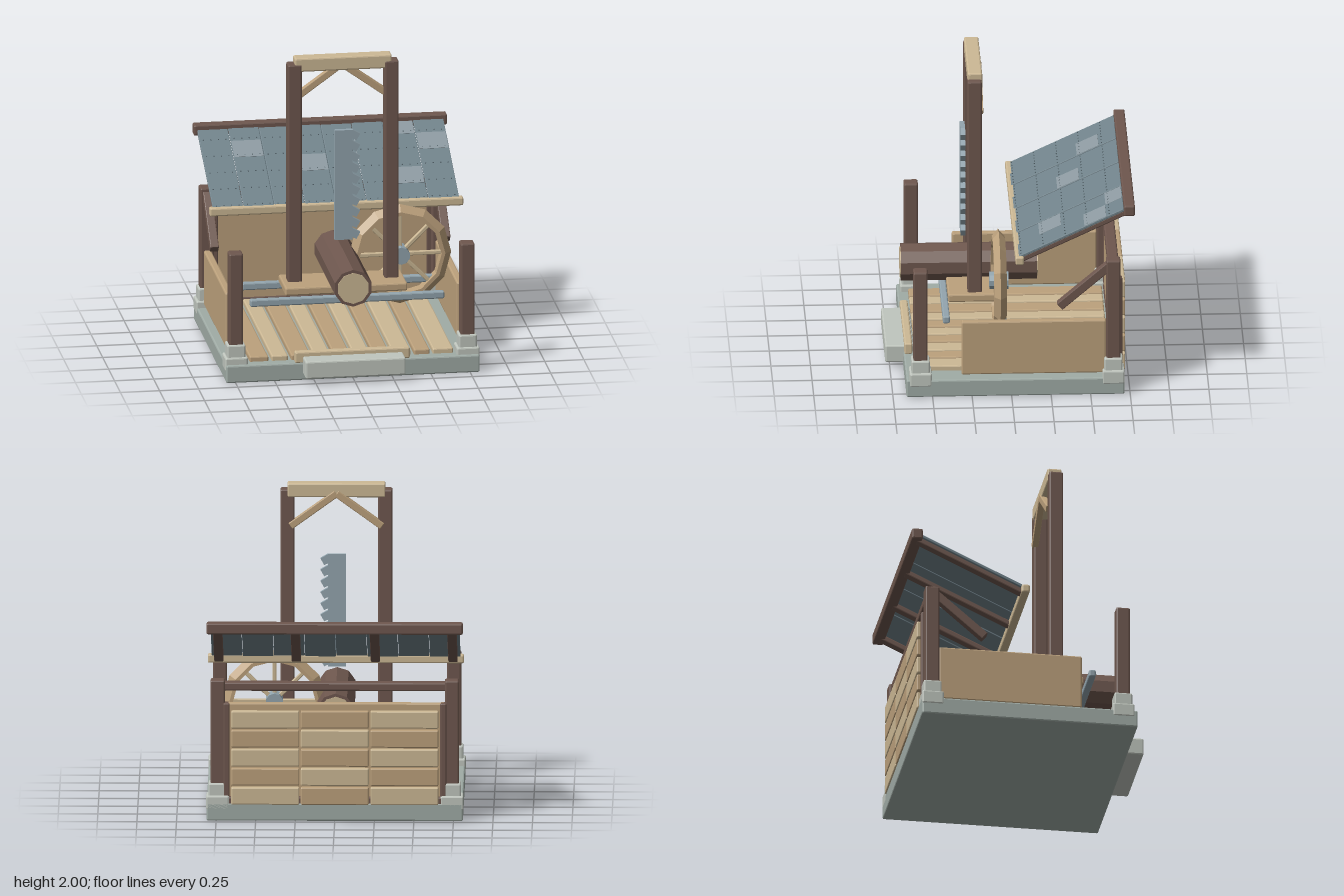
import * as THREE from 'three';
import { RoundedBoxGeometry } from 'three/addons/geometries/RoundedBoxGeometry.js';

const mat = (color, side = THREE.FrontSide) =>
  new THREE.MeshStandardMaterial({ color, side, flatShading: true });
const WOOD = mat(0xbca17c), PALE = mat(0xcdb995), DARK = mat(0x6e574e), STONE = mat(0xa0aca6),
  LIGHT_STONE = mat(0xc0c6be), METAL = mat(0x93a5ae), ROOF = mat(0x71838b), PATCH = mat(0x8d9aa1),
  RIVET = mat(0x56656c);

export function createModel() {
  const model = new THREE.Group();
  model.name = 'sawmill';

  const add = (name, geometry, material, parent = model) => {
    const mesh = new THREE.Mesh(geometry, material);
    mesh.name = name;
    parent.add(mesh);
    return mesh;
  };

  // Bevelled box given by its min and max on each axis
  const box = (name, material, x0, x1, y0, y1, z0, z1, parent = model) => {
    const w = x1 - x0, h = y1 - y0, d = z1 - z0;
    const r = Math.min(0.01, Math.min(w, h, d) * 0.2);
    const mesh = add(name, new RoundedBoxGeometry(w, h, d, 1, r), material, parent);
    mesh.position.set((x0 + x1) / 2, (y0 + y1) / 2, (z0 + z1) / 2);
    return mesh;
  };

  // Square beam between two points
  const beam = (name, material, a, b, width, depth, parent = model) => {
    const from = new THREE.Vector3(...a), to = new THREE.Vector3(...b);
    const dir = to.clone().sub(from);
    const mesh = add(name, new RoundedBoxGeometry(width, dir.length(), depth, 1, 0.005), material, parent);
    mesh.position.copy(from).add(to).multiplyScalar(0.5);
    mesh.quaternion.setFromUnitVectors(new THREE.Vector3(0, 1, 0), dir.normalize());
    return mesh;
  };

  // Foundation, step and sill
  box('foundation', STONE, -0.81, 0.81, 0, 0.115, -0.715, 0.665);
  box('frontStep', LIGHT_STONE, -0.32, 0.32, 0.04, 0.155, 0.6, 0.78);
  box('doorSill', PALE, -0.37, 0.365, 0.11, 0.185, 0.61, 0.66);

  // Floor planks of alternating width
  const plankEnds = [-0.66, -0.52, -0.395, -0.25, -0.125, 0, 0.125, 0.25, 0.39, 0.51, 0.66];
  for (let i = 0; i < 10; i++) {
    box('floorPlank', i % 2 ? PALE : WOOD, plankEnds[i] + 0.01, plankEnds[i + 1] - 0.01,
      0.105, 0.148, -0.63, 0.595);
  }

  // Corner posts on stone feet, side walls and braces
  for (const s of [-1, 1]) {
    const x = 0.74 * s;
    for (const [z, top] of [[0.575, 0.84], [-0.645, 0.9]]) {
      box('cornerPost', DARK, x - 0.045, x + 0.045, 0.18, top, z - 0.045, z + 0.045);
      box('postFootLower', LIGHT_STONE, x - 0.073, x + 0.073, 0.07, 0.16, z - 0.07, z + 0.07);
      box('postFootUpper', LIGHT_STONE, x - 0.058, x + 0.058, 0.14, 0.24, z - 0.058, z + 0.058);
    }
    box('sideWall', WOOD, x - 0.024, x + 0.024, 0.13, 0.49, -0.6, 0.315);
    beam('roofBrace', DARK, [x, 0.585, -0.305], [x, 0.865, -0.63], 0.055, 0.055);
  }
  box('backTopBeam', DARK, -0.78, 0.78, 0.83, 0.885, -0.68, -0.61);

  // Back wall with rows of cladding boards
  box('backWall', WOOD, -0.7, 0.7, 0.12, 0.755, -0.69, -0.645);
  box('backSill', DARK, -0.7, 0.7, 0.1, 0.155, -0.712, -0.64);
  for (const s of [-1, 1]) box('backWallStile', DARK, s * 0.685 - 0.02, s * 0.685 + 0.02, 0.12, 0.755, -0.704, -0.64);
  for (let row = 0; row < 5; row++) {
    for (let col = 0; col < 3; col++) {
      const x = -0.66 + col * 0.44, y = 0.105 + row * 0.123;
      box('claddingBoard', (row + col) % 2 ? WOOD : PALE, x + 0.005, x + 0.435, y, y + 0.112, -0.725, -0.685);
    }
  }

  // Sloping roof: local -z runs up the slope
  box('eaveBeam', PALE, -0.81, 0.81, 0.89, 0.945, -0.078, -0.025);
  box('ridgeBeam', DARK, -0.81, 0.81, 1.213, 1.285, -0.78, -0.71);
  const roof = new THREE.Group();
  roof.name = 'roof';
  roof.position.set(0, 0.92, -0.055);
  roof.rotation.x = Math.atan2(0.325, 0.69);
  model.add(roof);
  for (const x of [-0.74, -0.25, 0.25, 0.74]) box('rafter', DARK, x - 0.03, x + 0.03, -0.028, 0.008, -0.75, 0.01, roof);
  const patches = ['1,3', '3,2', '6,1', '6,4', '7,3'];
  const rivetGeometry = new THREE.CylinderGeometry(0.004, 0.004, 0.004, 6);
  for (let col = 0; col < 8; col++) {
    const x = -0.788 + col * 0.197, lift = col % 2 ? 0.004 : 0;
    box('roofSheet', ROOF, x, x + 0.194, 0.004 + lift, 0.022 + lift, -0.735, 0.005, roof);
    for (let row = 0; row < 5; row++) {
      const z = -row * 0.154;
      if (patches.includes(col + ',' + row)) {
        box('roofPatch', PATCH, x + 0.004, x + 0.19, 0.02 + lift, 0.0245 + lift, Math.max(z - 0.152, -0.73), z, roof);
      }
      for (let k = 0; k < 4; k++) {
        add('rivet', rivetGeometry, RIVET, roof).position.set(x + 0.025 + k * 0.048, 0.024 + lift, z - 0.02);
      }
    }
  }

  // Saw gate frame
  for (const s of [-1, 1]) {
    box('gatePost', DARK, s * 0.309 - 0.045, s * 0.309 + 0.045, 0.5, 1.96, 0.17, 0.26);
    beam('gateBrace', WOOD, [s * 0.29, 1.725, 0.178], [0, 1.935, 0.178], 0.045, 0.04);
  }
  box('gateTopBeam', PALE, -0.31, 0.31, 1.91, 2, 0.165, 0.257);

  // Carriage and rails
  box('carriage', WOOD, -0.39, 0.39, 0.472, 0.525, 0.085, 0.385);
  for (const z of [0.405, 0.047]) box('rail', METAL, -0.62, 0.62, 0.422, 0.47, z - 0.022, z + 0.022);

  // Log with a pale cut face at each end
  const log = new THREE.Group();
  log.name = 'log';
  log.position.set(0, 0.595, 0.24);
  log.rotation.x = Math.PI / 2;
  model.add(log);
  add('bark', new THREE.CylinderGeometry(0.122, 0.122, 0.86, 10), DARK, log);
  add('cutWood', new THREE.CylinderGeometry(0.102, 0.102, 0.87, 10), PALE, log);

  // Saw blade with hooked teeth
  const blade = new THREE.Shape();
  blade.moveTo(0.055, 0.8);
  const teeth = 10, pitch = 0.725 / teeth;
  for (let i = 0; i < teeth; i++) {
    const y = 0.8 + i * pitch;
    blade.lineTo(0.05, y + 0.015);
    blade.lineTo(0.078, y + 0.002);
    blade.lineTo(0.102, y + 0.045);
    blade.lineTo(0.055, y + pitch);
  }
  blade.lineTo(-0.06, 1.525);
  blade.lineTo(-0.06, 0.8);
  blade.closePath();
  add('sawBlade', new THREE.ExtrudeGeometry(blade, { depth: 0.03, bevelEnabled: false }), METAL).position.z = 0.263;

  // Spoked flywheel with a pointed rim
  const wheel = new THREE.Group();
  wheel.name = 'flywheel';
  wheel.position.set(0.39, 0.62, 0.064);
  model.add(wheel);
  const rimProfile = [[0.262, -0.04], [0.285, -0.04], [0.328, 0], [0.285, 0.04], [0.262, 0.04], [0.262, -0.04]]
    .map(([r, h]) => new THREE.Vector2(r, h));
  add('rim', new THREE.LatheGeometry(rimProfile, 12), mat(0xbca17c, THREE.DoubleSide), wheel).rotation.x = Math.PI / 2;
  for (let i = 0; i < 8; i++) {
    const a = i * Math.PI / 4, c = Math.cos(a), s = Math.sin(a);
    beam('spoke', PALE, [c * 0.04, s * 0.04, 0], [c * 0.27, s * 0.27, 0], 0.026, 0.026, wheel);
  }
  add('hub', new THREE.CylinderGeometry(0.057, 0.057, 0.12, 10), METAL, wheel).rotation.x = Math.PI / 2;

  return model;
}
